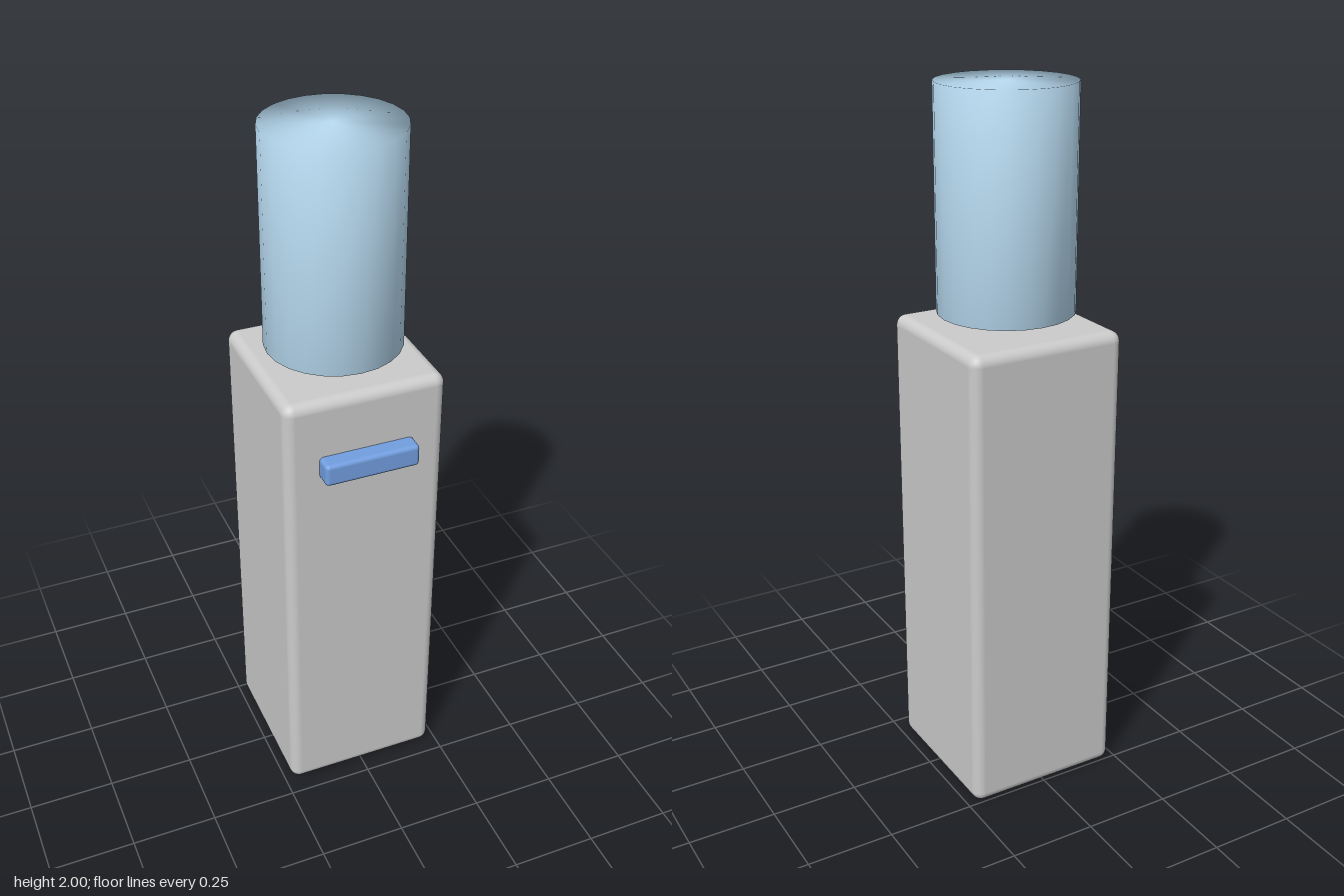
import * as THREE from 'three';
import { RoundedBoxGeometry } from 'three/addons/geometries/RoundedBoxGeometry.js';
import { mergeVertices } from 'three/addons/utils/BufferGeometryUtils.js';

function addMesh(group, name, geometry, color, x, y, z) {
  const mesh = new THREE.Mesh(geometry, new THREE.MeshStandardMaterial({ color }));
  mesh.name = name;
  mesh.position.set(x, y, z);
  group.add(mesh);
}

// Closed cylinder whose normals blend softly across the rims
function softCylinder(radius, height, sides) {
  const geometry = new THREE.CylinderGeometry(radius, radius, height, sides);
  geometry.deleteAttribute('uv');
  geometry.deleteAttribute('normal');
  const merged = mergeVertices(geometry);
  merged.computeVertexNormals();
  return merged;
}

export function createModel() {
  const group = new THREE.Group();
  group.name = 'waterCooler';

  // Tall cabinet with softened edges
  addMesh(group, 'cabinet', new RoundedBoxGeometry(0.46, 1.355, 0.46, 4, 0.03),
    0xcccccc, 0, 0.6775, -0.025);

  // Water bottle hovering just above the cabinet
  addMesh(group, 'bottle', softCylinder(0.19, 0.61, 24),
    0xbbdef5, 0, 1.695, -0.025);

  // Tap bar, partly sunk into the cabinet front
  addMesh(group, 'tapBar', new RoundedBoxGeometry(0.27, 0.065, 0.095, 4, 0.012),
    0x729fe0, 0, 1.154, 0.2065);

  return group;
}
